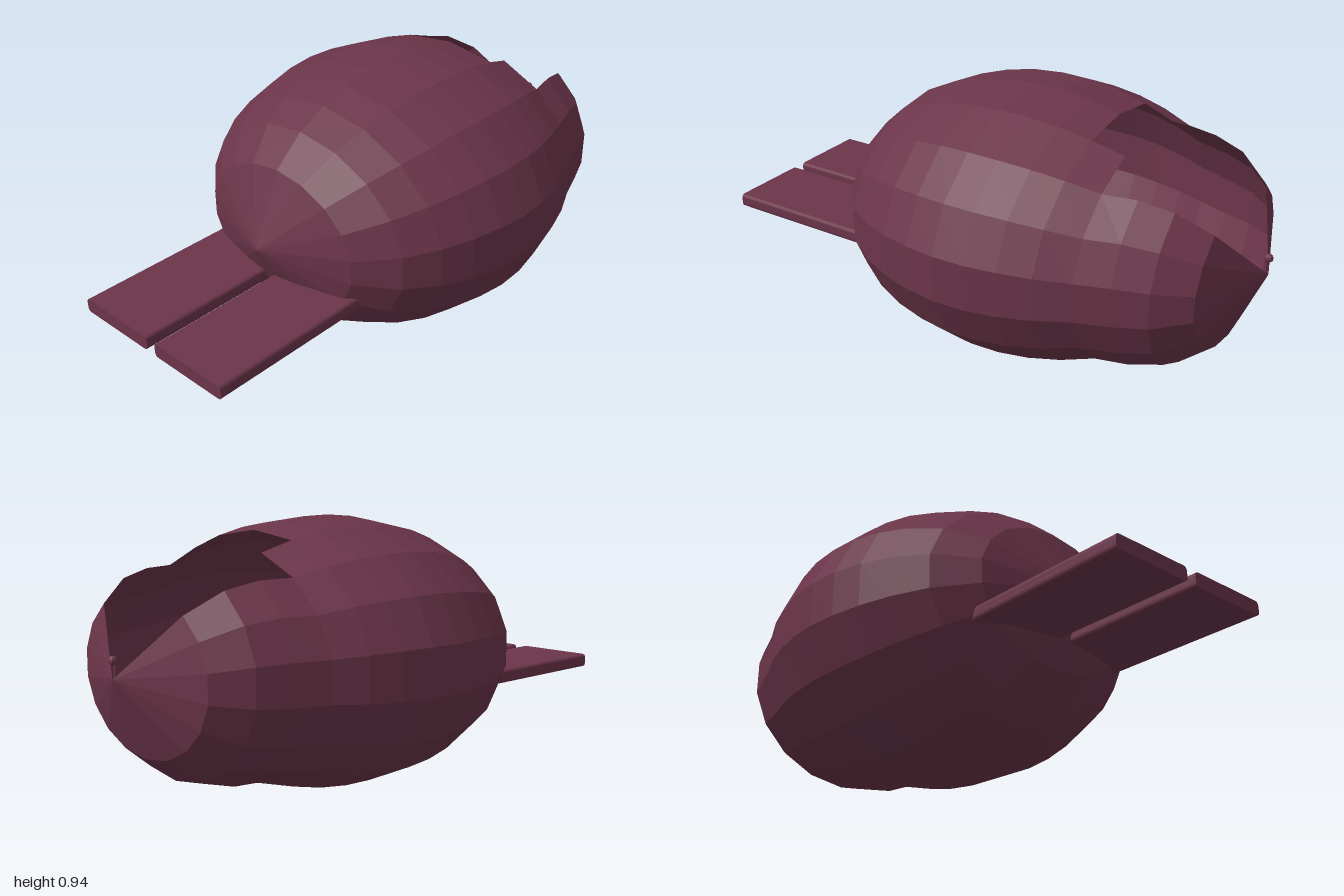
import * as THREE from 'three';

const SIDES = 18;
const CENTRE_Y = 0.472;

// Body rings from front tip to back tip: [z, half width, half height]
const RINGS = [
  [0.55, 0, 0], [0.44, 0.33, 0.255], [0.33, 0.455, 0.352], [0.22, 0.525, 0.405],
  [0.11, 0.57, 0.44], [0, 0.597, 0.46], [-0.11, 0.61, 0.468], [-0.22, 0.605, 0.465],
  [-0.33, 0.583, 0.452], [-0.44, 0.548, 0.427], [-0.55, 0.498, 0.39], [-0.66, 0.458, 0.387],
  [-0.77, 0.415, 0.355], [-0.88, 0.33, 0.265], [-0.99, 0, 0],
];

// Faceted shell; the panels on top at the back are left out as an opening
function shellGeometry() {
  const point = (i, j) => {
    const [z, rx, ry] = RINGS[i];
    const a = (j / SIDES) * Math.PI * 2;
    return [rx * Math.sin(a), CENTRE_Y + ry * Math.cos(a), z];
  };
  const positions = [];
  const last = RINGS.length - 2;
  for (let i = 0; i <= last; i++) {
    // number of panels missing on each side of the centre line
    const gap = i >= 10 ? 2 : i === 9 ? 1 : 0;
    for (let j = gap; j < SIDES - gap; j++) {
      const a = point(i, j), b = point(i, j + 1);
      const c = point(i + 1, j + 1), d = point(i + 1, j);
      if (i > 0) positions.push(...a, ...b, ...c);
      if (i < last) positions.push(...a, ...c, ...d);
      if (i === last) continue;
    }
  }
  const geometry = new THREE.BufferGeometry();
  geometry.setAttribute('position', new THREE.Float32BufferAttribute(positions, 3));
  geometry.computeVertexNormals();
  return geometry;
}

// Flat slat with softened long edges, running along z
function slatGeometry(width, height, length, r) {
  const w = width / 2, h = height / 2;
  const s = new THREE.Shape();
  s.moveTo(-w + r, -h);
  s.lineTo(w - r, -h);
  s.quadraticCurveTo(w, -h, w, -h + r);
  s.lineTo(w, h - r);
  s.quadraticCurveTo(w, h, w - r, h);
  s.lineTo(-w + r, h);
  s.quadraticCurveTo(-w, h, -w, h - r);
  s.lineTo(-w, -h + r);
  s.quadraticCurveTo(-w, -h, -w + r, -h);
  return new THREE.ExtrudeGeometry(s, { depth: length, bevelEnabled: false, curveSegments: 4 });
}

export function createModel() {
  const model = new THREE.Group();
  const material = new THREE.MeshStandardMaterial({
    color: 0x6b3549, flatShading: true, side: THREE.DoubleSide,
  });
  const add = (name, geometry, x, y, z) => {
    const mesh = new THREE.Mesh(geometry, material);
    mesh.name = name;
    mesh.position.set(x, y, z);
    model.add(mesh);
    return mesh;
  };

  add('shell', shellGeometry(), 0, 0, 0);

  // Pair of slats out of the front
  const slat = slatGeometry(0.307, 0.05, 0.64, 0.015);
  add('leftSlat', slat, 0.173, 0.335, 0.36);
  add('rightSlat', slat, -0.173, 0.335, 0.36);

  // Small knob on a stem at the back tip
  add('knobStem', new THREE.CylinderGeometry(0.006, 0.006, 0.07, 8), 0, 0.495, -0.978);
  add('knob', new THREE.SphereGeometry(0.015, 8, 6), 0, 0.53, -0.985);

  return model;
}
